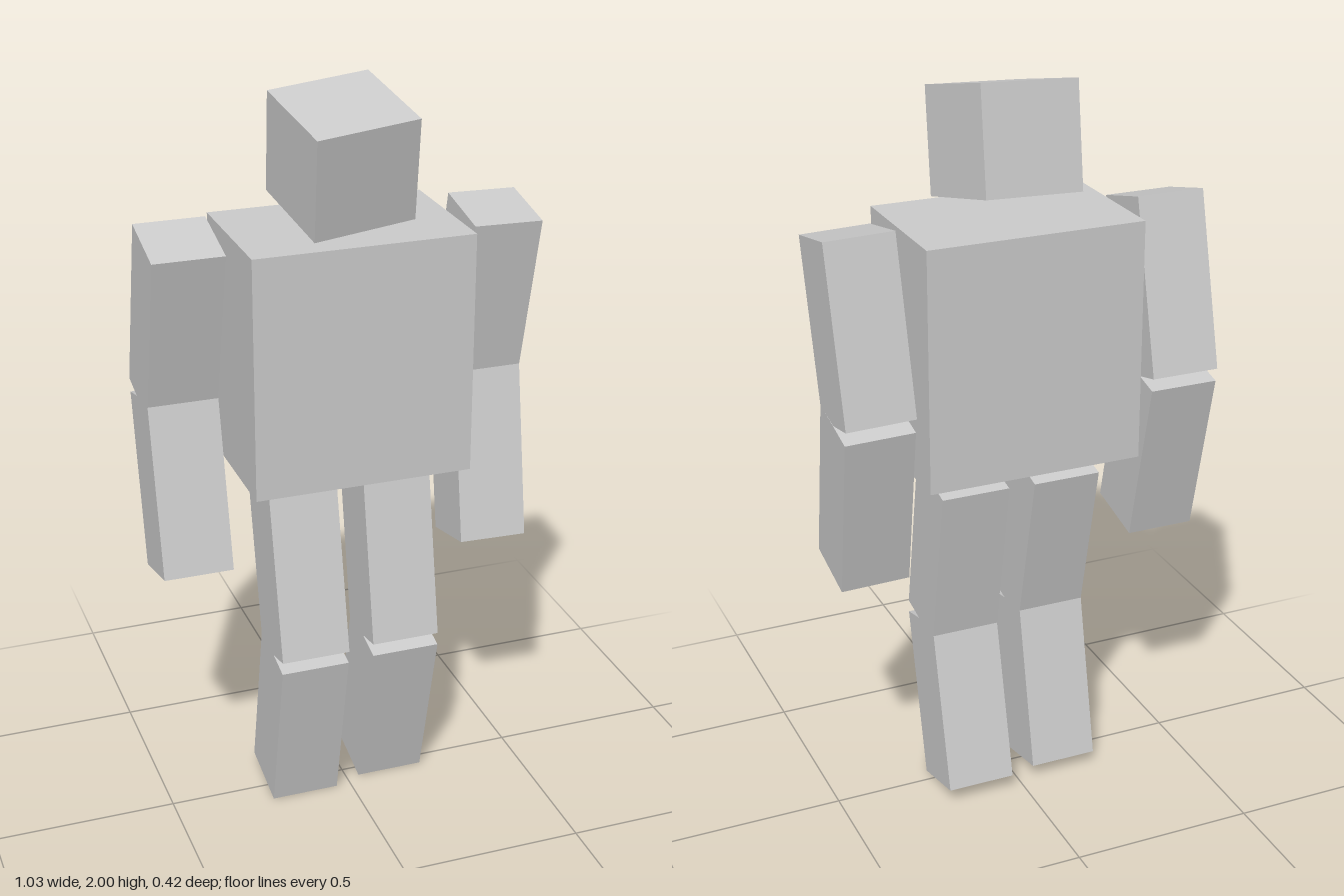
import * as THREE from 'three';

const material = new THREE.MeshStandardMaterial({ color: 0xcccccc, flatShading: true });

// A named box: size, centre and tilt
function block(name, size, position, rotation = [0, 0, 0]) {
  const mesh = new THREE.Mesh(new THREE.BoxGeometry(...size), material);
  mesh.name = name;
  mesh.position.set(...position);
  mesh.rotation.set(...rotation);
  return mesh;
}

// A limb of two equal blocks that overlap at a bent joint
function limb(name, upper, lower) {
  const group = new THREE.Group();
  group.name = name;
  const size = [0.187, 0.472, 0.187];
  group.add(
    block(name + 'Upper', size, upper.at, upper.tilt),
    block(name + 'Lower', size, lower.at, lower.tilt)
  );
  return group;
}

export function createModel() {
  const model = new THREE.Group();
  model.name = 'blockFigure';

  // Body and turned, nodding head
  model.add(block('torso', [0.585, 0.645, 0.39], [-0.002, 1.318, -0.011]));
  model.add(block('head', [0.279, 0.279, 0.279], [-0.009, 1.826, 0.023], [0.22, 0.137, 0.046]));

  // Arms, elbows pointing back
  model.add(limb('leftArm',
    { at: [0.414, 1.41, -0.047], tilt: [0.192, 0, -0.025] },
    { at: [0.403, 0.948, -0.033], tilt: [-0.222, 0, -0.025] }));
  model.add(limb('rightArm',
    { at: [-0.423, 1.416, -0.063], tilt: [0.25, 0, 0] },
    { at: [-0.423, 0.965, -0.062], tilt: [-0.226, 0, 0] }));

  // Legs, knees pointing forward
  model.add(limb('leftLeg',
    { at: [0.129, 0.712, 0.019], tilt: [-0.185, 0, 0] },
    { at: [0.129, 0.256, 0.007], tilt: [0.245, 0, 0] }));
  model.add(limb('rightLeg',
    { at: [-0.134, 0.711, 0.032], tilt: [-0.22, 0, 0] },
    { at: [-0.134, 0.254, 0.029], tilt: [0.213, 0, 0] }));

  return model;
}
